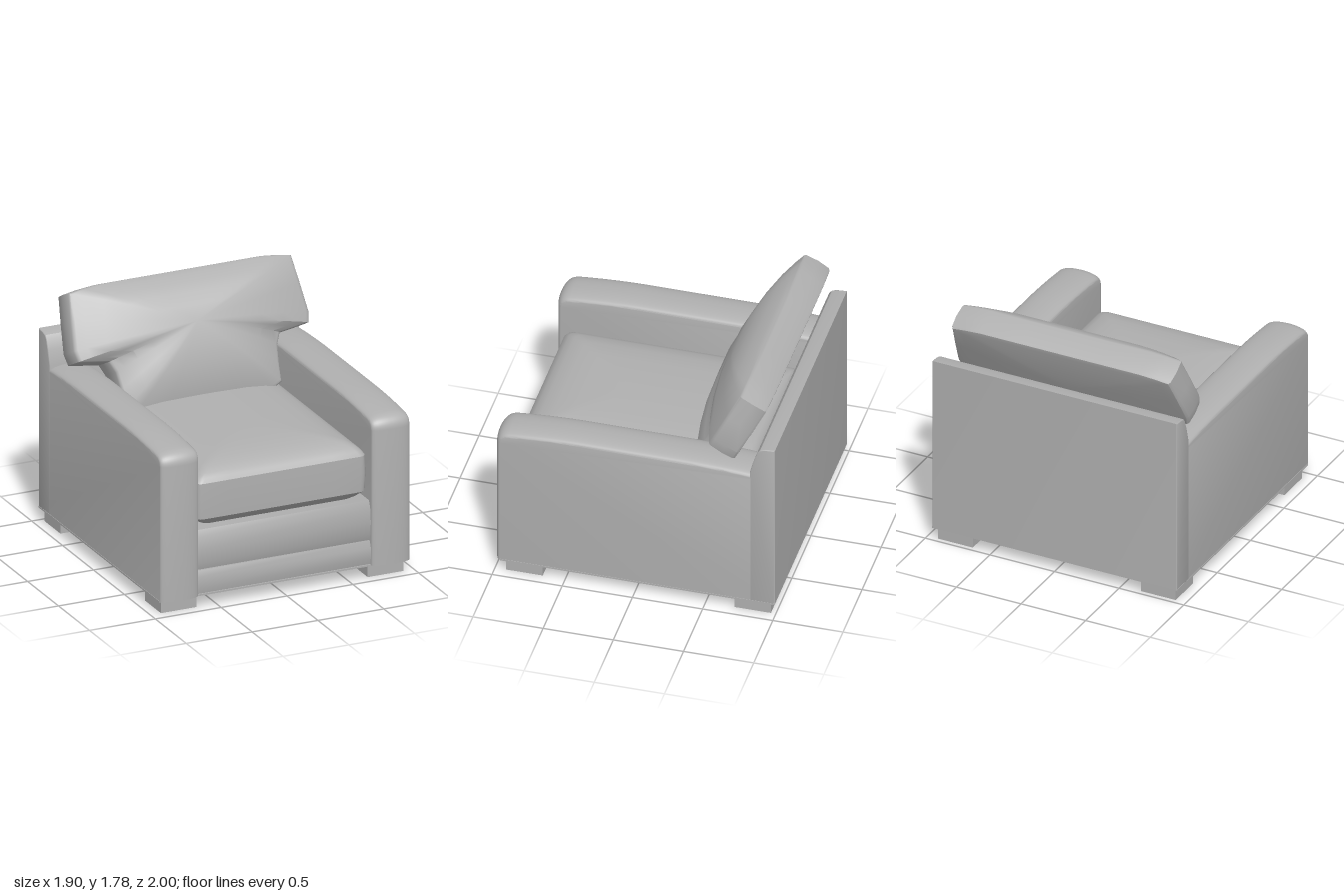
import * as THREE from 'three';
import { toCreasedNormals } from 'three/addons/utils/BufferGeometryUtils.js';

const fabric = new THREE.MeshStandardMaterial({ color: 0xb0b0b0 });
fabric.name = 'grey fabric';

function part(name, geometry, parent) {
  const mesh = new THREE.Mesh(geometry, fabric);
  mesh.name = name;
  parent.add(mesh);
  return mesh;
}

// Sweep a side outline (z, y) across x, with optional rounding of the edges
function sweepX(shape, width, bevel = 0.01, thickness = bevel) {
  const g = new THREE.ExtrudeGeometry(shape, {
    depth: width - 2 * thickness, curveSegments: 10,
    bevelSize: bevel, bevelOffset: -bevel, bevelThickness: thickness, bevelSegments: 8,
  });
  g.translate(0, 0, -(width - 2 * thickness) / 2);
  g.rotateY(-Math.PI / 2);
  return g;
}

const outline = (pts) => new THREE.Shape(pts.map(([z, y]) => new THREE.Vector2(z, y)));

// Skin a stack of closed loops that run counter-clockwise about the stacking axis
function loft(rings, crease) {
  const n = rings[0].length;
  const index = [];
  for (let i = 0; i < rings.length - 1; i++) {
    for (let j = 0; j < n; j++) {
      const k = (j + 1) % n;
      const a = i * n + j, b = i * n + k, c = b + n, d = a + n;
      index.push(a, b, c, a, c, d);
    }
  }
  const g = new THREE.BufferGeometry().setFromPoints(rings.flat());
  g.setIndex(index);
  return toCreasedNormals(g, crease);
}

// Arm: crowned top and front, flat bottom and back
function armGeometry() {
  const s = new THREE.Shape();
  s.moveTo(-1.04, 0.04);
  s.lineTo(1.0, 0.04);
  s.lineTo(1.0, 1.1);
  s.quadraticCurveTo(0.995, 1.185, 0.9, 1.197);
  s.quadraticCurveTo(0.65, 1.222, 0.4, 1.222);
  s.lineTo(-0.4, 1.22);
  s.quadraticCurveTo(-0.8, 1.21, -1.04, 1.175);
  const g = sweepX(s, 0.29, 0.04, 0.14);
  const p = g.attributes.position;
  for (let i = 0; i < p.count; i++) {
    p.setY(i, Math.max(p.getY(i), 0.1));
    p.setZ(i, Math.max(p.getZ(i), -0.99));
  }
  return toCreasedNormals(g, 0.6);
}

// Rounded rectangle loop for the seat cushion
function seatRing(y, inset) {
  const hx = 0.645 - inset, front = 0.92 - inset, back = -0.75 + inset * 0.3;
  const hz = (front - back) / 2, cz = (front + back) / 2;
  const r = 0.05;
  const ring = [];
  for (let q = 0; q < 4; q++) {
    const sx = q === 0 || q === 3 ? 1 : -1;
    const sz = q < 2 ? -1 : 1;
    for (let i = 0; i <= 4; i++) {
      const t = (q + i / 4) * Math.PI / 2;
      ring.push(new THREE.Vector3(
        sx * (hx - r) + r * Math.cos(t), y, cz + sz * (hz - r) - r * Math.sin(t)));
    }
    // Extra points along the side that follows this corner
    const len = q % 2 ? hz - r : hx - r;
    for (let i = 1; i < 6; i++) {
      const f = len * (1 - i / 3);
      if (q === 0) ring.push(new THREE.Vector3(f, y, cz - hz));
      if (q === 1) ring.push(new THREE.Vector3(-hx, y, cz - f));
      if (q === 2) ring.push(new THREE.Vector3(-f, y, cz + hz));
      if (q === 3) ring.push(new THREE.Vector3(hx, y, cz + f));
    }
  }
  return ring;
}

// T-shaped back cushion, leaning back, with a full front
function backCushionGeometry() {
  const half = [
    [0.3, 0.96], [0.52, 0.97], [0.59, 1.0], [0.6, 1.12], [0.615, 1.23], [0.65, 1.30],
    [0.77, 1.315], [0.875, 1.33], [0.892, 1.4], [0.87, 1.58], [0.845, 1.755],
    [0.74, 1.77], [0.62, 1.78], [0.3, 1.78],
  ];
  const loop = [[0, 0.96], ...half, [0, 1.78], ...half.map(([x, y]) => [-x, y]).reverse()];
  const midY = 1.45;
  const ring = (s, c) => loop.map(([x, y]) => {
    const py = midY + (y - midY) * s;
    const b = (py - 1.77) / 0.89;
    return new THREE.Vector3(x * s, py + 0.46 * c, -0.74 - 0.46 * b + 0.89 * c);
  });
  const scales = [0, 0.3, 0.55, 0.75, 0.9, 0.97];
  const rings = [
    ...scales.map((s) => ring(s, -0.2 - 0.03 * (1 - s * s))),
    ring(0.985, -0.2), ring(1, -0.185), ring(1.008, -0.1), ring(1, -0.01), ring(0.99, 0.004),
    ...scales.slice().reverse().map((s) => ring(s, 0.15 * (1 - Math.pow(s, 2.5)))),
  ];
  return loft(rings, 0.7);
}

export function createModel() {
  const chair = new THREE.Group();
  chair.name = 'armchair';

  // Arms and feet, mirrored
  const arm = armGeometry();
  const foot = new THREE.BoxGeometry(0.27, 0.1, 0.26);
  for (const [side, sx] of [['left', 1], ['right', -1]]) {
    part(side + 'Arm', arm, chair).position.x = sx * 0.802;
    part(side + 'FrontFoot', foot, chair).position.set(sx * 0.785, 0.05, 0.79);
    part(side + 'BackFoot', foot, chair).position.set(sx * 0.785, 0.05, -0.835);
  }

  // Back frame with a softened top
  part('backFrame', toCreasedNormals(sweepX(outline([
    [-1, 0.1], [-0.82, 0.1], [-0.82, 1.2], [-0.85, 1.31], [-0.875, 1.38],
    [-0.895, 1.405], [-0.93, 1.415], [-1, 1.42],
  ]), 1.895, 0.008), 0.6), chair);

  // Base with upper and lower front rails
  part('upperRail', toCreasedNormals(sweepX(outline([
    [-0.9, 0.28], [0.935, 0.28], [0.95, 0.33], [0.955, 0.42], [0.945, 0.52], [0.925, 0.57], [-0.9, 0.57],
  ]), 1.36, 0.004), 0.6), chair);
  part('lowerRail', toCreasedNormals(sweepX(outline([
    [-0.9, 0.1], [0.945, 0.1], [0.955, 0.15], [0.955, 0.23], [0.94, 0.275], [-0.9, 0.275],
  ]), 1.36, 0.004), 0.6), chair);
  part('bottomPanel', new THREE.BoxGeometry(1.9, 0.012, 1.955), chair).position.set(0, 0.1, -0.02);

  // Seat cushion: [height, inset] from bottom to crown
  const seat = [
    [0.57, 0.55], [0.57, 0.08], [0.595, 0.045], [0.638, 0], [0.77, -0.004], [0.9, 0], [0.93, 0.02],
    [0.955, 0.05], [0.98, 0.1], [1.0, 0.19], [1.015, 0.33], [1.02, 0.58],
  ].map(([y, inset]) => seatRing(y, inset));
  const top = seat[seat.length - 1];
  const centre = top.reduce((sum, v) => sum.add(v), new THREE.Vector3()).divideScalar(top.length);
  seat.push(top.map(() => centre.clone()));
  part('seatCushion', loft(seat, 0.5), chair);

  part('backCushion', backCushionGeometry(), chair);
  return chair;
}
